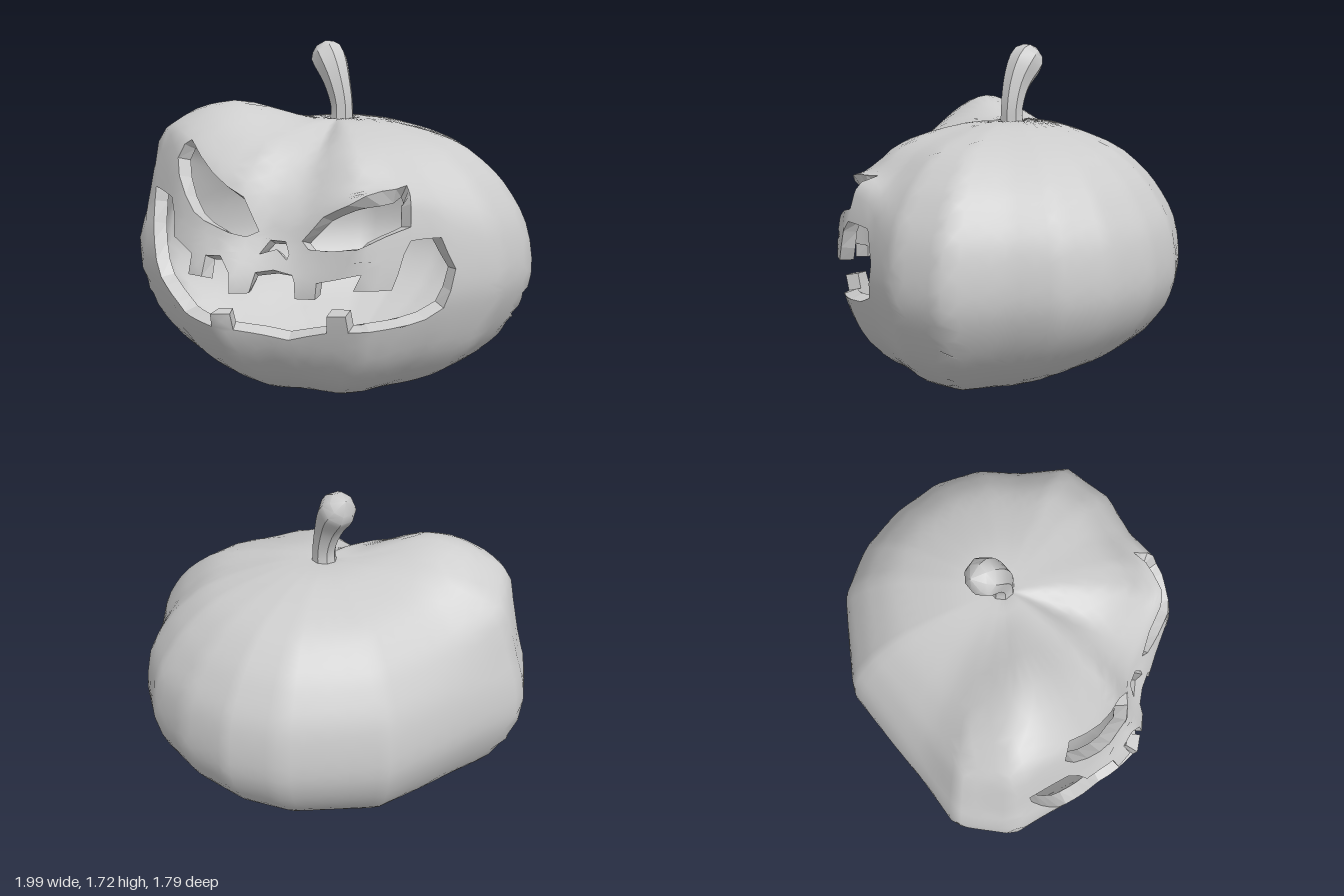
import * as THREE from 'three';
import { mergeVertices, toCreasedNormals } from 'three/addons/utils/BufferGeometryUtils.js';

const WALL = 0.07;      // thickness of the rind
const STEP = 0.13;      // longest edge allowed in the (angle, height) domain
const TOP = 3;          // height parameter runs 0..TOP along the profile
const V2 = (x, y) => new THREE.Vector2(x, y);
const { clamp, smoothstep } = THREE.MathUtils;
const bell = (v, centre, width) => Math.exp(-(((v - centre) / width) ** 2));

// plan outline [x, z] of the lobed body
const outline = [[0, .81], [.2, .77], [.5, .74], [.65, .61], [.76, .4], [.94, .17], [1, -.11],
  [.84, -.35], [.75, -.56], [.56, -.74], [.3, -.85], [.03, -.89], [-.24, -.84], [-.4, -.73],
  [-.65, -.55], [-.8, -.2], [-.88, 0], [-1, .25], [-.9, .53], [-.72, .64], [-.55, .75],
  [-.35, .84], [-.18, .88]]
  .map(([x, z]) => [Math.atan2(x, z), Math.hypot(x, z)]).sort((a, b) => a[0] - b[0]);
const first = outline[0], last = outline[outline.length - 1];
outline.unshift([last[0] - 2 * Math.PI, last[1]]);
outline.push([first[0] + 2 * Math.PI, first[1]]);

// distance to the straight outline edge at an angle
function planRadius(a) {
  let i = 1;
  while (i < outline.length - 1 && outline[i][0] < a) i++;
  const [a0, r0] = outline[i - 1], [a1, r1] = outline[i];
  return r0 * r1 * Math.sin(a1 - a0) / (r0 * Math.sin(a - a0) + r1 * Math.sin(a1 - a));
}

// side profile: [fraction of plan radius, y]
const profile = new THREE.SplineCurve([[0, .012], [.22, .008], [.43, .04], [.6, .105], [.74, .19],
  [.87, .32], [.967, .5], [1, .66], [.967, .86], [.885, 1.015], [.78, 1.135], [.6, 1.255],
  [.3, 1.33], [.1, 1.345], [0, 1.33]].map(p => V2(...p)));

// point on the outer skin
function skin(a, w) {
  const p = profile.getPoint(clamp(w / TOP, 0, 1));
  const f = Math.max(p.x, 0), y = p.y;
  // sloping forehead and jutting lower lip
  const slope = .09 * bell(a, -.05, .4) * smoothstep(y, .65, .9);
  const lip = .06 * bell(a, -.15, .35) * bell(y, .46, .2);
  const r = planRadius(a) * f * (1 - slope + lip);
  // high brow on one side, low brow on the other, dip between them
  const highBrow = (.175 + .28 * Math.max(0, f - .6)) * bell(a, -.92, .46)
    * smoothstep(y, .88, 1.06) * smoothstep(f, .1, .62);
  const lowBrow = .13 * bell(a, .75, .4) * bell(f, .94, .085) * smoothstep(y, .66, .95);
  const dip = .05 * bell(a, .22, .22) * smoothstep(y, .66, 1.1) * smoothstep(f, 0, .45);
  // underside leans forward, back is rounder above and below
  const lean = .12 * (1 - f * f) * (1 - smoothstep(y, .3, .7));
  const back = smoothstep(-Math.cos(a), 0, 1) * smoothstep(f, .25, .65)
    * (.04 - .04 * smoothstep(y, .1, .5) - .02 * smoothstep(y, .8, 1.1));
  return new THREE.Vector3(r * Math.sin(a), y + highBrow + lowBrow - dip + back, r * Math.cos(a) + lean);
}

function skinNormal(a, w) {
  const e = .04, v = clamp(w, .08, TOP - .08);
  const da = skin(a + e, v).sub(skin(a - e, v));
  const dw = skin(a, v + e).sub(skin(a, v - e));
  return da.cross(dw).normalize();
}

const inside = (a, w) => skin(a, w).addScaledVector(skinNormal(a, w), -WALL);

// finds the domain point that lies at a given front-facing x, y
function locate([x, y]) {
  let a = Math.asin(x), w = 1.5;
  for (let i = 0; i < 300; i++) {
    const p = skin(a, w);
    a = clamp(a + (x - p.x) * .4, -1.5, 1.5);
    w = clamp(w + (y - p.y) * .25, .3, 2.8);
  }
  return V2(a, w);
}

// carved openings, as seen from the front
const eyeRight = [[-.49, 1.27], [-.13, 1.04], [-.04, .89], [-.09, .866], [-.39, .95], [-.53, 1.1], [-.56, 1.18]];
const eyeLeft = [[.18, .866], [.275, .98], [.4, 1.045], [.57, 1.11], [.645, .95], [.46, .86], [.33, .84], [.22, .835]];
const nose = [[-.015, .795], [.02, .855], [.095, .855], [.125, .805], [.12, .78], [.06, .82]];
const mouth = [[-.76, 1.01], [-.58, .99], [-.535, .91], [-.51, .82], [-.355, .77], [-.35, .68],
  [-.26, .685], [-.265, .775], [-.18, .785], [-.12, .71], [-.11, .625], [-.025, .63], [-.01, .72],
  [.07, .735], [.16, .72], [.175, .69], [.18, .615], [.275, .62], [.28, .695], [.49, .755],
  [.455, .68], [.6, .68], [.635, .835], [.65, .89], [.73, .88], [.785, .73], [.745, .55],
  [.69, .51], [.42, .475], [.415, .555], [.325, .545], [.315, .46], [.13, .405], [-.1, .45],
  [-.105, .53], [-.195, .525], [-.2, .46], [-.42, .47], [-.63, .59], [-.71, .755], [-.76, .94]];

function meshOf(name, positions, normals, material) {
  const g = new THREE.BufferGeometry();
  g.setAttribute('position', new THREE.Float32BufferAttribute(positions, 3));
  if (normals) g.setAttribute('normal', new THREE.Float32BufferAttribute(normals, 3));
  else g.computeVertexNormals();
  const mesh = new THREE.Mesh(g, material);
  mesh.name = name;
  return mesh;
}

// halves the longest edge until every triangle is small
function split(tri, out) {
  const len = tri.map((p, i) => p.distanceTo(tri[(i + 1) % 3]));
  const k = len.indexOf(Math.max(...len));
  if (len[k] <= STEP) { out.push(tri); return; }
  const a = tri[k], b = tri[(k + 1) % 3], c = tri[(k + 2) % 3];
  const m = a.clone().add(b).multiplyScalar(.5);
  split([a, m, c], out);
  split([m, b, c], out);
}

function buildStem(material) {
  const curve = new THREE.CatmullRomCurve3([[0, 1.29, -.015], [.005, 1.4, -.015], [-.03, 1.53, -.025],
    [-.085, 1.63, -.05], [-.155, 1.708, -.085]].map(p => new THREE.Vector3(...p)));
  const girth = [1.1, 1, .95, .95, 1, 1.06, 1.14, 1.24, 1.36, 1.45, 1.42, 1.05, 0];
  const sides = 8, rings = girth.length - 1;
  const g = new THREE.TubeGeometry(curve, rings, .062, sides);
  const pos = g.attributes.position, p = new THREE.Vector3();
  for (let i = 0; i < pos.count; i++) {
    const ring = Math.floor(i / (sides + 1)), c = curve.getPointAt(ring / rings);
    p.fromBufferAttribute(pos, i).sub(c).multiplyScalar(girth[ring]).add(c);
    pos.setXYZ(i, p.x, p.y, p.z);
  }
  g.deleteAttribute('uv');
  g.deleteAttribute('normal');
  const stem = new THREE.Mesh(toCreasedNormals(mergeVertices(g), .7), material);
  stem.name = 'stem';
  return stem;
}

export function createModel() {
  const group = new THREE.Group();
  group.name = 'carvedPumpkin';
  const grey = new THREE.MeshStandardMaterial({ color: 0xcccccc, side: THREE.DoubleSide });
  grey.name = 'pale grey';

  // unrolled skin with the openings cut out
  const openings = { rightEye: eyeRight, leftEye: eyeLeft, nose, mouth };
  const loops = Object.entries(openings).map(([name, pts]) => {
    const loop = pts.map(locate);
    if (!THREE.ShapeUtils.isClockWise(loop)) loop.reverse();
    return [name, loop];
  });
  const sheet = [V2(-Math.PI, 0), V2(Math.PI, 0), V2(Math.PI, TOP), V2(-Math.PI, TOP)];
  const holes = loops.map(l => l[1]);
  const all = sheet.concat(...holes);
  const tris = [];
  for (const f of THREE.ShapeUtils.triangulateShape(sheet, holes)) {
    const t = f.map(i => all[i]);
    const area = t[1].clone().sub(t[0]).cross(t[2].clone().sub(t[0]));
    split(area < 0 ? t.reverse() : t, tris);
  }

  // outer skin and hollow inside
  const outer = [], outerN = [], inner = [], innerN = [];
  for (const t of tris) {
    for (const p of t) {
      outer.push(...skin(p.x, p.y));
      outerN.push(...skinNormal(p.x, p.y));
    }
    for (const p of [t[0], t[2], t[1]]) {
      inner.push(...inside(p.x, p.y));
      innerN.push(...skinNormal(p.x, p.y).negate());
    }
  }
  group.add(meshOf('outerSkin', outer, outerN, grey), meshOf('hollowInside', inner, innerN, grey));

  // cut faces around each opening
  for (const [name, loop] of loops) {
    const rim = [];
    loop.forEach((p, i) => {
      const q = loop[(i + 1) % loop.length];
      const n = 2 ** Math.max(0, Math.ceil(Math.log2(p.distanceTo(q) / STEP)));
      for (let k = 0; k < n; k++) {
        const s = p.clone().lerp(q, k / n), e = p.clone().lerp(q, (k + 1) / n);
        const a = skin(s.x, s.y), b = skin(e.x, e.y), c = inside(e.x, e.y), d = inside(s.x, s.y);
        for (const v of [a, c, b, a, d, c]) rim.push(...v);
      }
    });
    group.add(meshOf(name + 'Rim', rim, null, grey));
  }

  group.add(buildStem(grey));
  return group;
}
